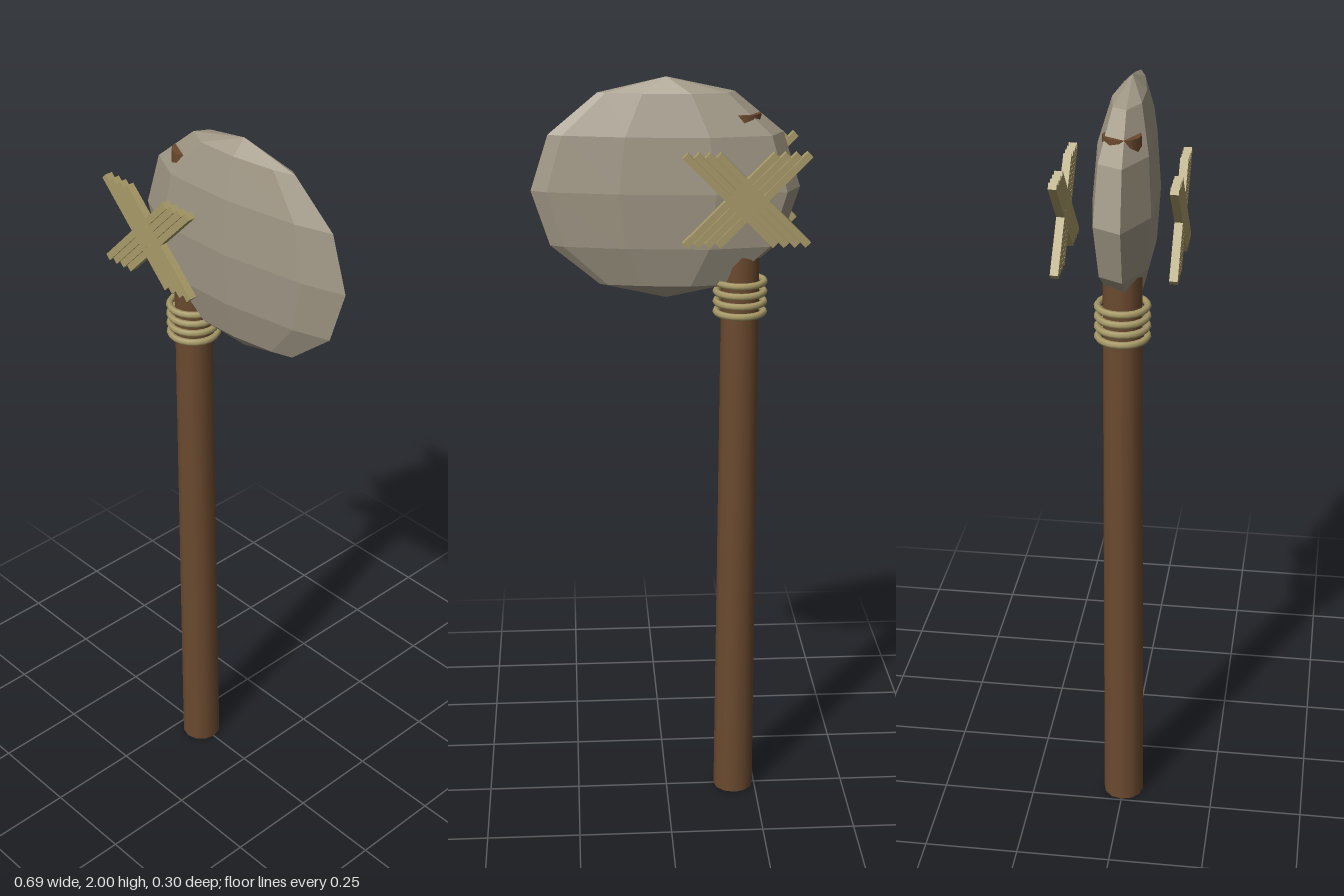
import * as THREE from 'three';

const wood = new THREE.MeshStandardMaterial({ color: 0x6b4a2f });
wood.name = 'wood';
const stone = new THREE.MeshStandardMaterial({ color: 0xa09785, flatShading: true });
stone.name = 'stone';
const cord = new THREE.MeshStandardMaterial({ color: 0xa89a68 });
cord.name = 'cord';

const HANDLE_X = -0.19;

function add(parent, name, geometry, material, x = 0, y = 0, z = 0) {
  const mesh = new THREE.Mesh(geometry, material);
  mesh.name = name;
  mesh.position.set(x, y, z);
  parent.add(mesh);
  return mesh;
}

// Chipped stone: a coarse sphere whose columns follow a wedge-shaped plan
function stoneGeometry() {
  const plan = [
    [-0.34, 0.015], [-0.22, 0.073], [0, 0.071], [0.23, 0.035], [0.34, 0],
    [0.30, -0.021], [0.12, -0.058], [-0.12, -0.082], [-0.30, -0.055],
  ];
  const columns = plan.length, rows = 6;
  const geometry = new THREE.SphereGeometry(1, columns, rows);
  const position = geometry.attributes.position;
  for (let i = 0; i < position.count; i++) {
    const row = Math.floor(i / (columns + 1));
    const [x, z] = plan[(i % (columns + 1)) % columns];
    const v = (row / rows) * Math.PI;
    position.setXYZ(i, x * Math.sin(v), 0.28 * Math.cos(v), z * Math.sin(v));
  }
  geometry.computeVertexNormals();
  return geometry;
}

export function createModel() {
  const model = new THREE.Group();
  model.name = 'stoneAxe';

  // Handle runs up through the head and just breaks its surface near the top
  add(model, 'handle', new THREE.CylinderGeometry(0.047, 0.055, 1.91, 12), wood, HANDLE_X, 0.955, 0);
  add(model, 'stoneHead', stoneGeometry(), stone, 0, 1.72, 0);

  // Cord rings below the head
  const ringGeometry = new THREE.TorusGeometry(0.062, 0.009, 6, 20);
  for (let i = 0; i < 4; i++) {
    add(model, 'cordRing', ringGeometry, cord, HANDLE_X, 1.4 + 0.0267 * i, 0).rotation.x = Math.PI / 2;
  }

  // Crossed lashing on the front and back
  const strandGeometry = new THREE.BoxGeometry(0.018, 0.316, 0.02);
  for (const side of [1, -1]) {
    const lashing = new THREE.Group();
    lashing.name = side > 0 ? 'frontLashing' : 'backLashing';
    lashing.position.set(HANDLE_X, 1.72, side * 0.14);
    for (const lean of [1, -1]) {
      for (let i = 0; i < 4; i++) {
        add(lashing, 'strand', strandGeometry, cord, (i - 1.5) * 0.027).rotation.z = lean * Math.PI / 4;
      }
    }
    model.add(lashing);
  }
  return model;
}
